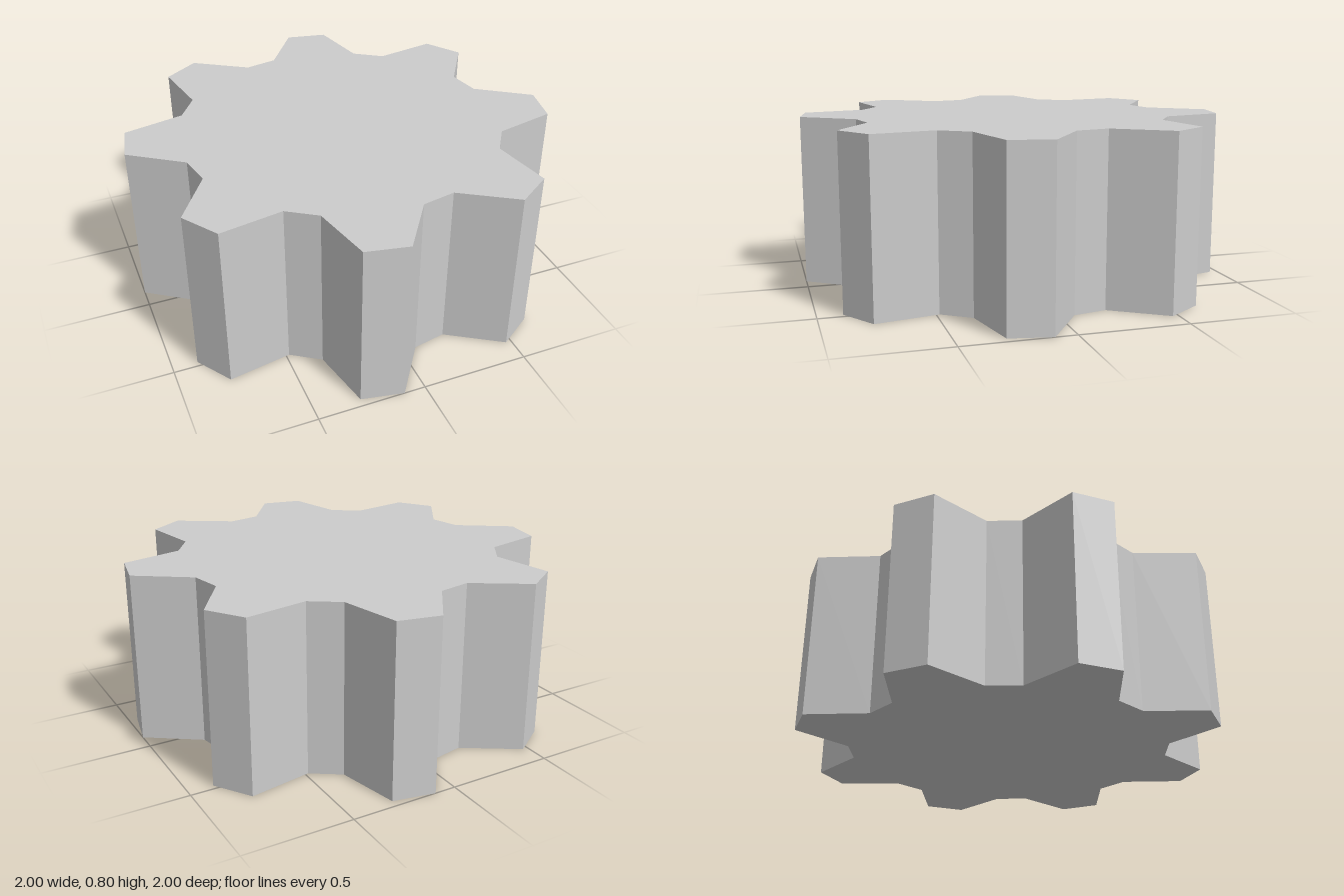
import * as THREE from 'three';

const TEETH = 8, HEIGHT = 0.8;
const TIP = { radius: 1.0048, half: 5.62 };   // half-widths in degrees
const ROOT = { radius: 0.761, half: 5.95 };

export function createModel() {
  const group = new THREE.Group();
  group.name = 'gear';

  // Outline: alternating flat tips and flat roots
  const points = [];
  for (let i = 0; i < TEETH * 2; i++) {
    const { radius, half } = i % 2 === 0 ? TIP : ROOT;
    const centre = 11.25 + i * 180 / TEETH;
    for (const side of [-1, 1]) {
      const a = THREE.MathUtils.degToRad(centre + side * half);
      points.push(new THREE.Vector2(radius * Math.cos(a), radius * Math.sin(a)));
    }
  }

  // Solid body, laid flat and standing on the ground
  const geometry = new THREE.ExtrudeGeometry(new THREE.Shape(points), {
    depth: HEIGHT, bevelEnabled: false,
  });
  geometry.rotateX(Math.PI / 2).translate(0, HEIGHT, 0);
  const material = new THREE.MeshStandardMaterial({ color: 0xcccccc, flatShading: true });
  const body = new THREE.Mesh(geometry, material);
  body.name = 'gearBody';
  group.add(body);
  return group;
}
